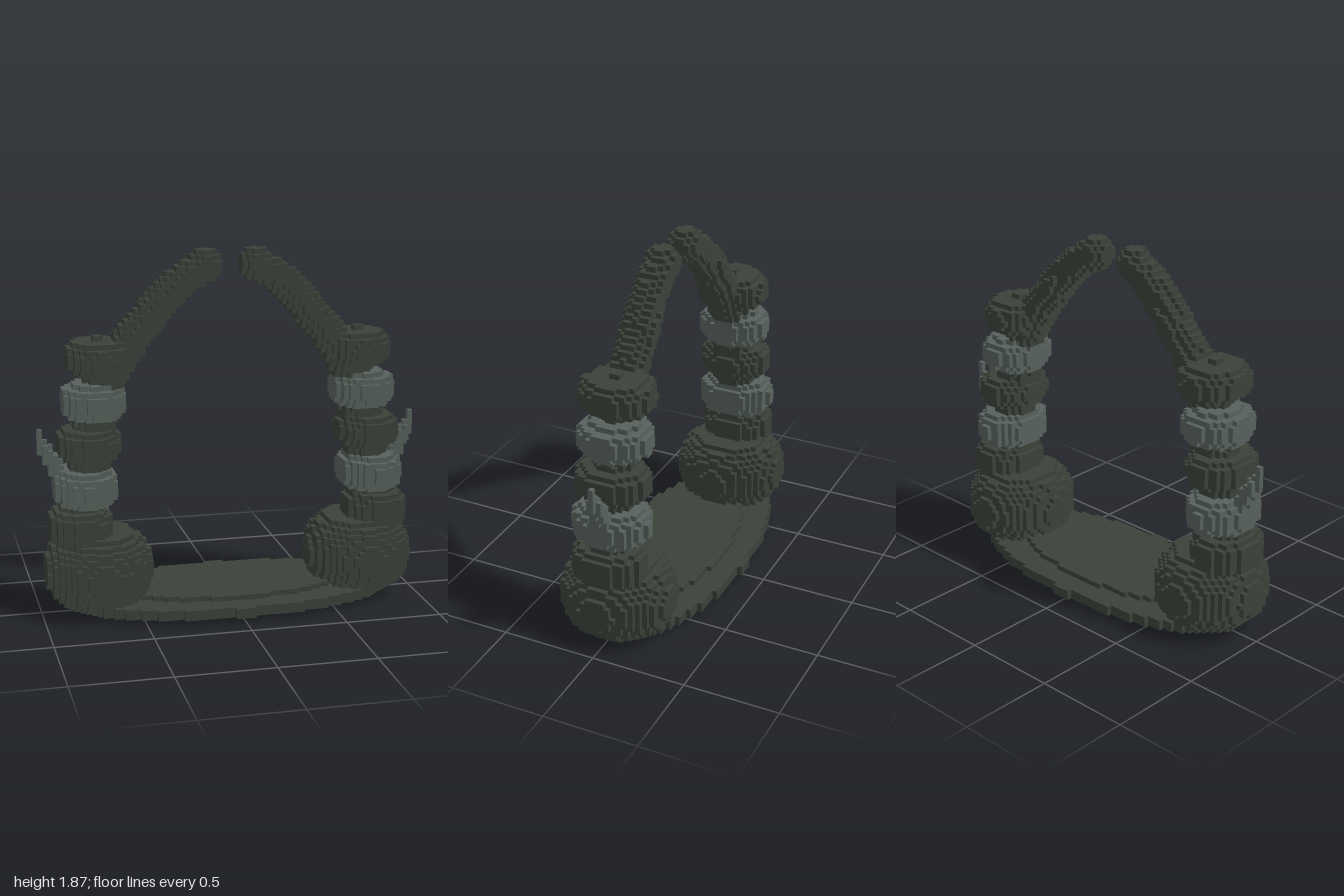
import * as THREE from 'three';

const V = 2 / 76;                 // edge of one cube
const NX = 38, NY = 71, NZ = 15;  // half width, height, half depth in cubes

const dark = new THREE.MeshStandardMaterial({ color: 0x3b4139 });
dark.name = 'dark stone';
const light = new THREE.MeshStandardMaterial({ color: 0x57615c });
light.name = 'pale stone';

// Rounded lump; a higher power n gives flatter top and bottom
const lump = (cx, cy, cz, rx, ry, rz, n = 2, top = 9) => (x, y, z) =>
  y < top &&
  ((x - cx) / rx) ** 2 + ((z - cz) / rz) ** 2 + Math.abs((y - cy) / ry) ** n <= 1;

// Tapering limb through points [x, y, z, radius]
function limb(points) {
  const curve = new THREE.CatmullRomCurve3(points.map(p => new THREE.Vector3(p[0], p[1], p[2])));
  const balls = [];
  const steps = 60, last = points.length - 1;
  for (let s = 0; s <= steps; s++) {
    const u = (s / steps) * last, i = Math.min(Math.floor(u), last - 1);
    const r = THREE.MathUtils.lerp(points[i][3], points[i + 1][3], u - i);
    balls.push([curve.getPoint(s / steps), r * r]);
  }
  return (x, y, z) => balls.some(([c, r2]) =>
    (x - c.x) ** 2 + (y - c.y) ** 2 + (z - c.z) ** 2 <= r2);
}

// Parts of the +x side; later parts replace earlier ones where they overlap
const sideParts = [
  ['Arch', dark, limb([
    [0.78, 0.40, 0, 0.11], [0.76, 0.60, 0, 0.11], [0.735, 0.80, 0, 0.108],
    [0.70, 1.00, 0, 0.108], [0.645, 1.22, 0.006, 0.1], [0.515, 1.42, 0.013, 0.087],
    [0.41, 1.55, 0.013, 0.085], [0.27, 1.70, 0.02, 0.08], [0.13, 1.79, 0.026, 0.08],
  ])],
  ['Foot', dark, lump(0.70, 0.23, 0, 0.275, 0.225, 0.29, 2.5, 16 * V)],
  ['LowerDrum', dark, lump(0.79, 0.46, 0, 0.165, 0.125, 0.185, 3)],
  ['MiddleRing', dark, lump(0.74, 0.895, 0, 0.16, 0.1, 0.185, 3)],
  ['TopKnob', dark, lump(0.68, 1.335, 0, 0.165, 0.1, 0.185, 3)],
  ['LowerPaleRing', light, lump(0.76, 0.67, 0, 0.165, 0.112, 0.2, 3)],
  ['UpperPaleRing', light, lump(0.71, 1.115, 0, 0.165, 0.1, 0.185, 3)],
  ['Spike', light, limb([
    [0.87, 0.68, -0.01, 0.045], [0.91, 0.78, -0.01, 0.042],
    [0.955, 0.86, -0.012, 0.033], [0.986, 0.91, -0.013, 0.022], [0.987, 0.962, -0.013, 0.021],
  ])],
];

// Six cube faces: outward direction and its two tangents, with a x b = direction
const FACES = [];
for (let k = 0; k < 3; k++) {
  for (const s of [1, -1]) {
    const d = [0, 0, 0], a = [0, 0, 0], b = [0, 0, 0];
    d[k] = s;
    a[(k + (s > 0 ? 1 : 2)) % 3] = 1;
    b[(k + (s > 0 ? 2 : 1)) % 3] = 1;
    FACES.push([d, a, b]);
  }
}

export function createModel() {
  const model = new THREE.Group();
  model.name = 'arch';

  // Full list of parts, mirrored to both sides
  const parts = [['basePlate', dark, lump(0, 2 * V, 0, 34 * V, 2 * V, 15 * V)]];
  for (const [name, material, inside] of sideParts) {
    parts.push(['left' + name, material, inside]);
    parts.push(['right' + name, material, (x, y, z) => inside(-x, y, z)]);
  }

  // Fill the grid with the number of the part, 0 for empty
  const grid = new Uint8Array(2 * NX * NY * 2 * NZ);
  const index = (i, j, k) => ((i + NX) * NY + j) * 2 * NZ + k + NZ;
  const at = (i, j, k) =>
    i < -NX || i >= NX || j < 0 || j >= NY || k < -NZ || k >= NZ ? 0 : grid[index(i, j, k)];
  const eachCell = visit => {
    for (let i = -NX; i < NX; i++)
      for (let j = 0; j < NY; j++)
        for (let k = -NZ; k < NZ; k++) visit(i, j, k);
  };
  parts.forEach(([name, , inside], p) => {
    const side = name.startsWith('left') ? 1 : name.startsWith('right') ? -1 : 0;
    eachCell((i, j, k) => {
      const x = (i + 0.5) * V;
      if (x * side >= 0 && inside(x, (j + 0.5) * V, (k + 0.5) * V)) grid[index(i, j, k)] = p + 1;
    });
  });

  // Outer faces of the cubes, gathered part by part
  const data = parts.map(() => ({ position: [], normal: [], index: [] }));
  eachCell((i, j, k) => {
    const p = at(i, j, k);
    if (!p) return;
    const out = data[p - 1];
    for (const [d, a, b] of FACES) {
      if (at(i + d[0], j + d[1], k + d[2])) continue;
      const first = out.position.length / 3;
      for (const [u, w] of [[0, 0], [1, 0], [1, 1], [0, 1]]) {
        [i, j, k].forEach((c, m) =>
          out.position.push((c + Math.max(d[m], 0) + u * a[m] + w * b[m]) * V));
        out.normal.push(...d);
      }
      out.index.push(first, first + 1, first + 2, first, first + 2, first + 3);
    }
  });

  parts.forEach(([name, material], p) => {
    const { position, normal, index: faces } = data[p];
    if (!faces.length) return;
    const geometry = new THREE.BufferGeometry();
    geometry.setAttribute('position', new THREE.Float32BufferAttribute(position, 3));
    geometry.setAttribute('normal', new THREE.Float32BufferAttribute(normal, 3));
    geometry.setIndex(faces);
    const mesh = new THREE.Mesh(geometry, material);
    mesh.name = name;
    model.add(mesh);
  });
  return model;
}
